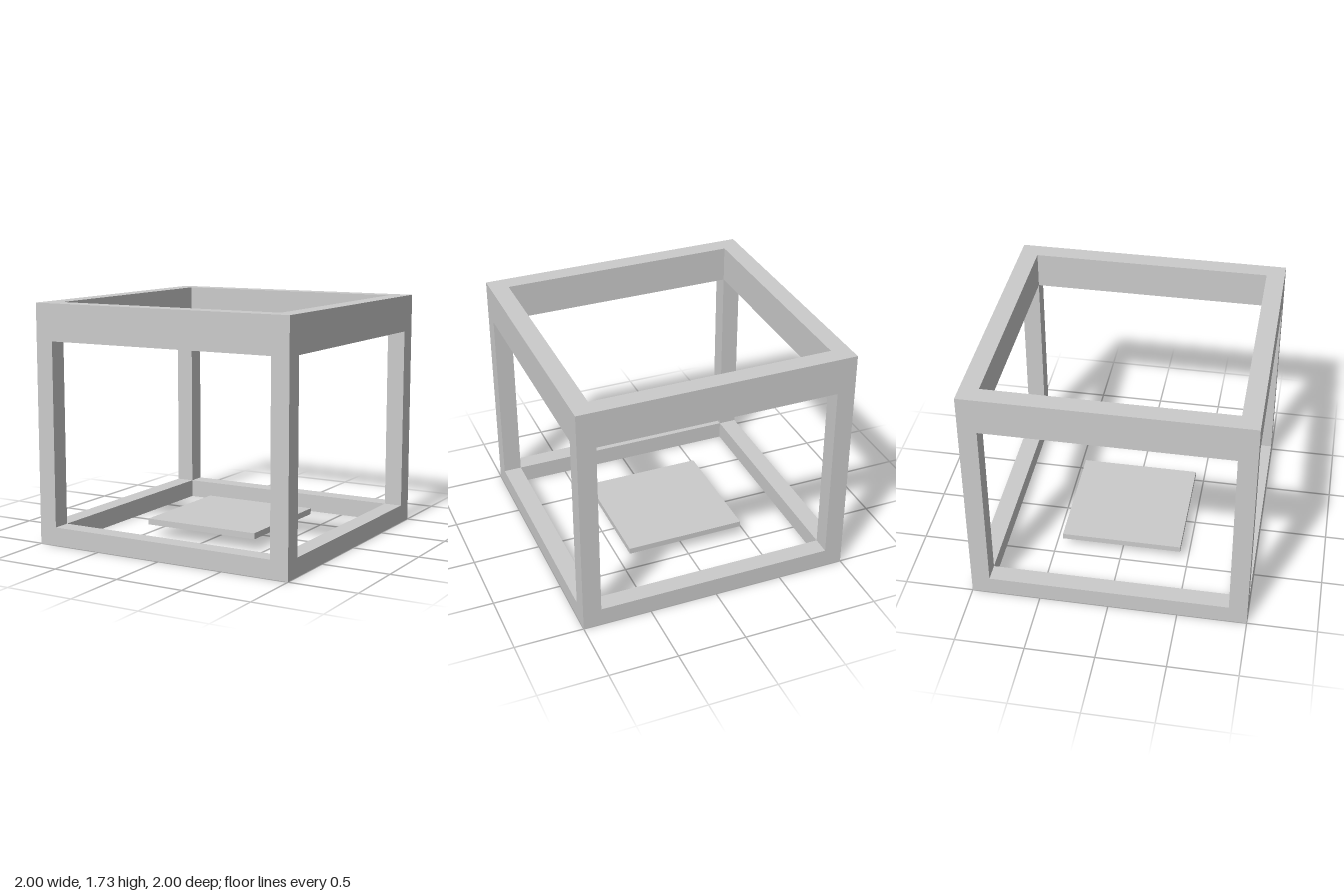
import * as THREE from 'three';

const OUTER = 1;
const INNER = 0.867;
const BAR = OUTER - INNER;
const RAIL_TOP = 0.133;   // top of the lower frame
const BAND_BOTTOM = 1.467; // underside of the upper frame
const HEIGHT = 1.733;

const material = new THREE.MeshStandardMaterial({ color: 0xcccccc, flatShading: true });

function addMesh(parent, name, geometry) {
  const mesh = new THREE.Mesh(geometry, material);
  mesh.name = name;
  parent.add(mesh);
  return mesh;
}

function squarePath(path, h) {
  path.moveTo(-h, -h).lineTo(h, -h).lineTo(h, h).lineTo(-h, h).closePath();
  return path;
}

// Square ring lying flat between two heights
function squareFrame(y0, y1) {
  const shape = squarePath(new THREE.Shape(), OUTER);
  shape.holes.push(squarePath(new THREE.Path(), INNER));
  const geometry = new THREE.ExtrudeGeometry(shape, { depth: y1 - y0, bevelEnabled: false });
  return geometry.rotateX(-Math.PI / 2).translate(0, y0, 0);
}

export function createModel() {
  const model = new THREE.Group();
  model.name = 'openFrameCube';

  // Lower rails and the deeper upper band
  addMesh(model, 'lowerFrame', squareFrame(0, RAIL_TOP));
  addMesh(model, 'upperFrame', squareFrame(BAND_BOTTOM, HEIGHT));

  // Four corner posts between the frames
  const postHeight = BAND_BOTTOM - RAIL_TOP;
  const postGeometry = new THREE.BoxGeometry(BAR, postHeight, BAR);
  const offset = (OUTER + INNER) / 2;
  for (const [xName, sx] of [['Left', 1], ['Right', -1]]) {
    for (const [zName, sz] of [['front', 1], ['back', -1]]) {
      const post = addMesh(model, `${zName}${xName}Post`, postGeometry);
      post.position.set(sx * offset, RAIL_TOP + postHeight / 2, sz * offset);
    }
  }

  // Thin centre plate, level with the top of the lower rails
  const plateThickness = 0.044;
  const plate = addMesh(model, 'centrePlate', new THREE.BoxGeometry(0.886, plateThickness, 0.886));
  plate.position.y = RAIL_TOP - plateThickness / 2;

  return model;
}
